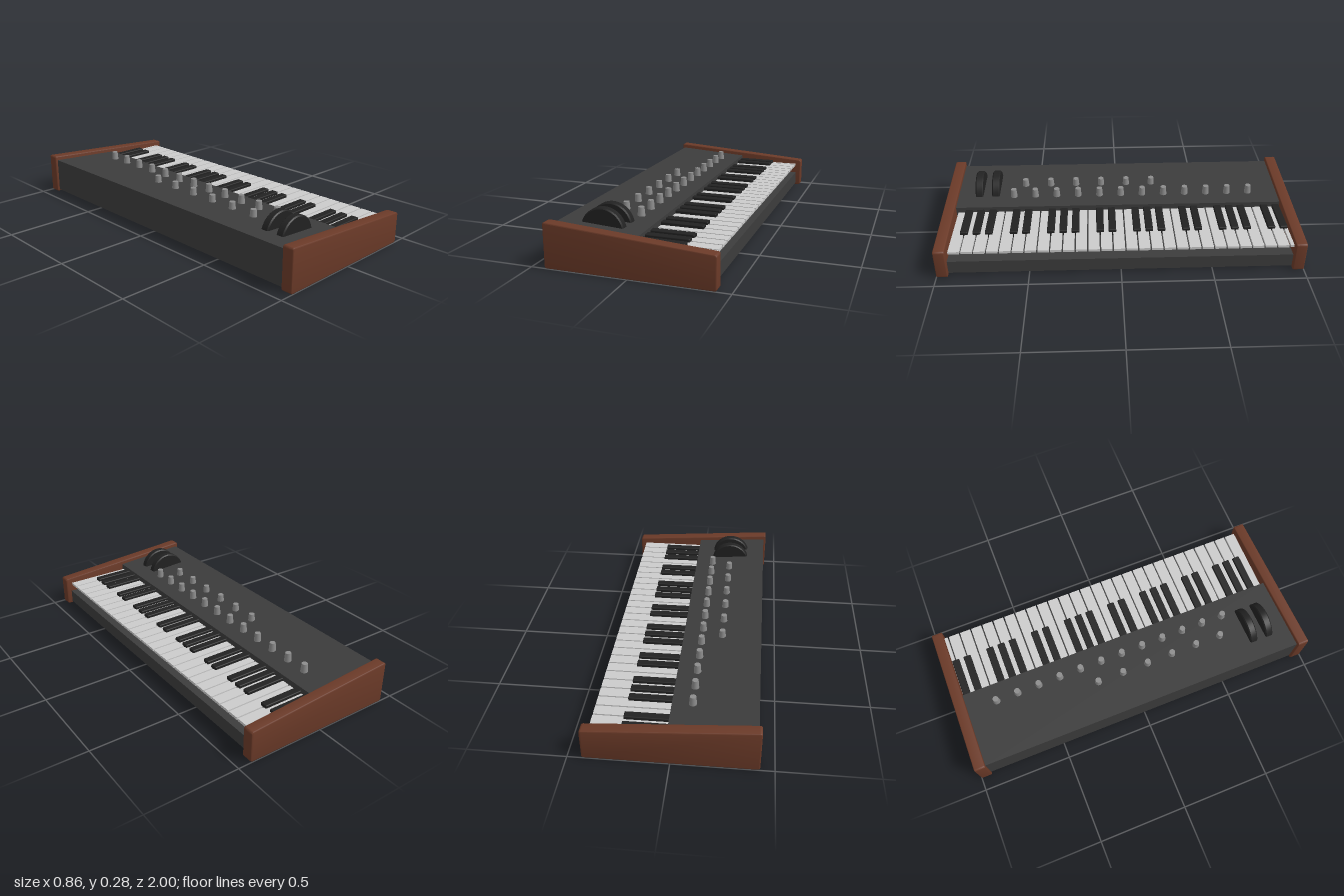
import * as THREE from 'three';
import { RoundedBoxGeometry } from 'three/addons/geometries/RoundedBoxGeometry.js';
import { toCreasedNormals } from 'three/addons/utils/BufferGeometryUtils.js';

const material = (color) => new THREE.MeshStandardMaterial({ color });
const wood = material(0x6b3a28);
const casing = material(0x3c3c3c);
const ivory = material(0xcccccc);
const ebony = material(0x222222);
const knobGrey = material(0x8c8c8c);

function add(parent, name, geometry, mat, x = 0, y = 0, z = 0) {
  const mesh = new THREE.Mesh(geometry, mat);
  mesh.name = name;
  mesh.position.set(x, y, z);
  parent.add(mesh);
  return mesh;
}

// Side profile in x/y, extruded along z and centred on z = 0
function extrudeProfile(points, width, bevel = 0) {
  const shape = new THREE.Shape(points.map(([x, y]) => new THREE.Vector2(x, y)));
  const geometry = new THREE.ExtrudeGeometry(shape, {
    depth: width - 2 * bevel,
    bevelEnabled: bevel > 0,
    bevelSize: bevel,
    bevelOffset: -bevel,
    bevelThickness: bevel,
    bevelSegments: 3,
  });
  geometry.translate(0, 0, bevel - width / 2);
  return toCreasedNormals(geometry, 0.6);
}

// Replace every corner of a polygon with a short arc
function roundCorners(corners, radius, steps = 4) {
  const pts = corners.map(([x, y]) => new THREE.Vector2(x, y));
  return pts.flatMap((p, i) => {
    const toward = (q) => q.clone().sub(p).setLength(radius).add(p);
    const curve = new THREE.QuadraticBezierCurve(
      toward(pts.at(i - 1)), p, toward(pts[(i + 1) % pts.length]));
    return curve.getPoints(steps).map((v) => [v.x, v.y]);
  });
}

export function createModel() {
  const model = new THREE.Group();
  model.name = 'synthesizer';

  // Stepped casing: sloping control panel behind, low key bed in front
  const body = [[-0.415, 0.01], [0.4, 0.01], [0.4, 0.085], [0.015, 0.085], [0.015, 0.177], [-0.415, 0.205]];
  add(model, 'casing', extrudeProfile(body, 1.88), casing);

  // Wooden end cheeks
  const cheek = roundCorners([[-0.43, 0], [0.43, 0], [0.43, 0.17], [-0.43, 0.231]], 0.012);
  const cheekGeometry = extrudeProfile(cheek, 0.062, 0.006);
  for (const side of [1, -1]) {
    add(model, side > 0 ? 'leftCheek' : 'rightCheek', cheekGeometry, wood, 0, 0, side * 0.969);
  }

  // Keys, lowest note at +z; four octaves of seven white keys
  const keys = new THREE.Group();
  keys.name = 'keyboard';
  model.add(keys);
  const pitch = 0.0684;
  const lowEnd = 0.932;
  const whiteGeometry = new THREE.BoxGeometry(0.39, 0.014, pitch - 0.008);
  const blackGeometry = new RoundedBoxGeometry(0.235, 0.038, 0.042, 2, 0.005);
  for (let i = 0; i < 28; i++) {
    add(keys, 'whiteKey', whiteGeometry, ivory, 0.2, 0.138, lowEnd - (i + 0.5) * pitch);
    if ([1, 2, 3, 5, 6].includes(i % 7)) {
      add(keys, 'blackKey', blackGeometry, ebony, 0.122, 0.142, lowEnd - i * pitch);
    }
  }

  // Two rows of tapered knobs
  const knobs = new THREE.Group();
  knobs.name = 'knobs';
  model.add(knobs);
  const knobGeometry = new THREE.CylinderGeometry(0.016, 0.021, 0.06, 20);
  const rows = [
    { x: -0.09, start: -0.768, step: 0.1255, count: 12 },
    { x: -0.2, start: -0.2, step: 0.15, count: 6 },
  ];
  for (const { x, start, step, count } of rows) {
    for (let i = 0; i < count; i++) {
      add(knobs, 'knob', knobGeometry, knobGrey, x, 0.201, start + i * step);
    }
  }

  // Pitch and modulation wheels with chamfered rims, sunk into the panel
  const rim = [[0, -0.022], [0.109, -0.022], [0.115, -0.016], [0.115, 0.016], [0.109, 0.022], [0, 0.022]];
  const wheelGeometry = toCreasedNormals(
    new THREE.LatheGeometry(rim.map(([r, h]) => new THREE.Vector2(r, h)), 48).rotateX(Math.PI / 2), 0.5);
  add(model, 'pitchWheel', wheelGeometry, ebony, -0.2, 0.161, 0.816);
  add(model, 'modulationWheel', wheelGeometry, ebony, -0.2, 0.161, 0.72);

  return model;
}
